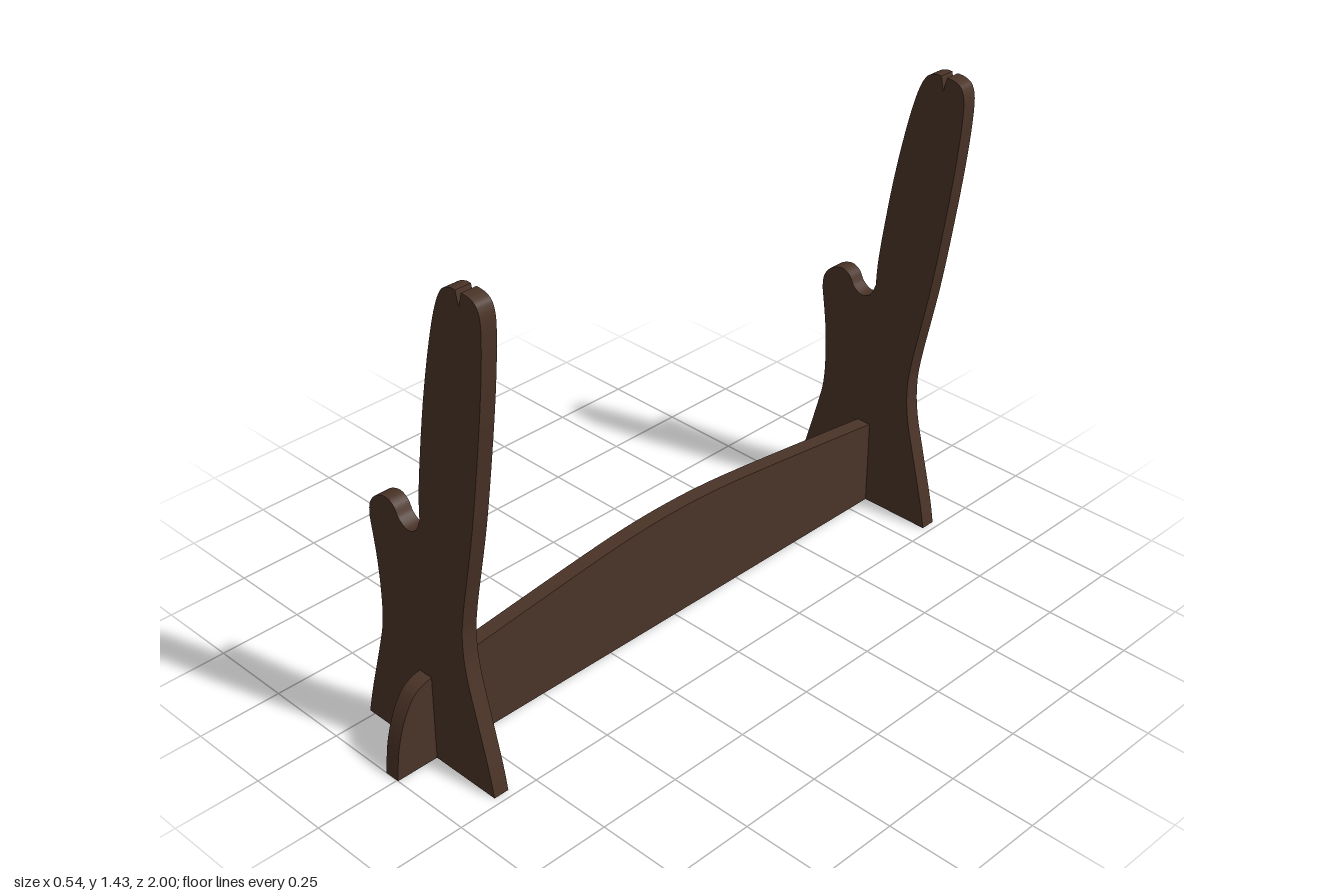
import * as THREE from 'three';

const THICK = 0.046;
const V = (p) => p.map(([x, y]) => new THREE.Vector2(x, y));

// Flat board cut from an outline, centred on its thickness
function board(shape, name, material) {
  const geo = new THREE.ExtrudeGeometry(shape, { depth: THICK, bevelEnabled: false, curveSegments: 8 });
  geo.translate(0, 0, -THICK / 2);
  const mesh = new THREE.Mesh(geo, material);
  mesh.name = name;
  return mesh;
}

// Upright outline: flared foot, short front hook, tall leaning back arm
function uprightShape() {
  const s = new THREE.Shape();
  s.moveTo(0.228, 0);
  s.splineThru(V([[0.212, 0.08], [0.172, 0.235], [0.146, 0.34], [0.137, 0.43], [0.146, 0.53],
    [0.197, 0.79], [0.235, 1.04], [0.258, 1.226], [0.267, 1.36], [0.258, 1.412], [0.235, 1.43], [0.205, 1.434]]));
  s.lineTo(0.195, 1.393); // small notch in the tip
  s.lineTo(0.186, 1.434);
  s.splineThru(V([[0.165, 1.433], [0.135, 1.416], [0.108, 1.36], [0.078, 1.25], [0.045, 1.09], [0.018, 0.92], [0.004, 0.81], [0, 0.735]]));
  s.splineThru(V([[-0.018, 0.697], [-0.05, 0.684], [-0.08, 0.7], [-0.1, 0.731], [-0.13, 0.743],
    [-0.17, 0.728], [-0.195, 0.695], [-0.2, 0.655]]));
  s.splineThru(V([[-0.184, 0.54], [-0.178, 0.43], [-0.182, 0.34], [-0.2, 0.26], [-0.248, 0.09], [-0.27, 0]]));
  s.closePath();
  return s;
}

// Long rail: arched top, rounded ends, scalloped underside
function railShape() {
  const s = new THREE.Shape();
  const mirror = (p) => p.map(([x, y]) => [-x, y]).reverse();
  const end = [[1, 0], [0.99, 0.09], [0.967, 0.17], [0.935, 0.227], [0.9, 0.252], [0.85, 0.263]];
  const top = [[0.85, 0.263], [0.6, 0.294], [0.3, 0.329], [0.14, 0.343]];
  const under = [[0.69, 0], [0.61, 0.077], [0.53, 0.127], [0.44, 0.145], [0.36, 0.129], [0.28, 0.107],
    [0.19, 0.122], [0.1, 0.174]];
  s.moveTo(1, 0);
  s.splineThru(V(end.slice(1)));
  s.splineThru(V([...top.slice(1), [0, 0.347], ...mirror(top)]));
  s.splineThru(V(mirror(end).slice(1)));
  s.lineTo(-0.69, 0);
  s.splineThru(V([...under.slice(1).map(([x, y]) => [-x, y]), [0, 0.198], ...mirror(under)]));
  s.closePath();
  return s;
}

export function createModel() {
  const group = new THREE.Group();
  group.name = 'displayStand';
  const wood = new THREE.MeshStandardMaterial({ color: 0x4a3327 });
  wood.name = 'dark brown wood';

  // Two matching uprights
  for (const side of [1, -1]) {
    const upright = board(uprightShape(), side > 0 ? 'frontUpright' : 'backUpright', wood);
    upright.position.z = side * 0.848;
    group.add(upright);
  }

  // Rail slotted through both uprights
  const rail = board(railShape(), 'rail', wood);
  rail.rotation.y = -Math.PI / 2;
  rail.position.x = -0.019;
  group.add(rail);

  return group;
}
